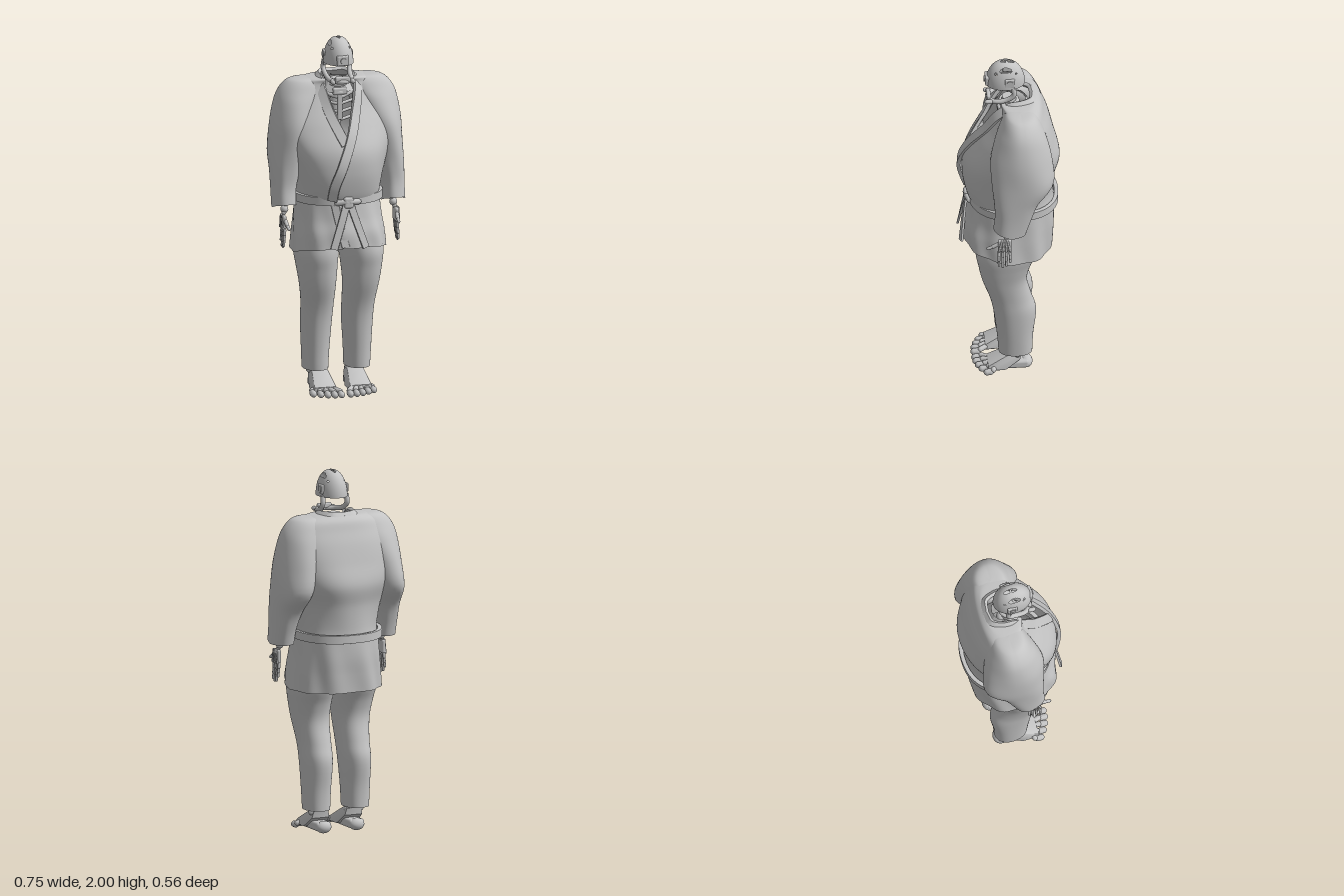
import * as THREE from 'three';
import { toCreasedNormals } from 'three/addons/utils/BufferGeometryUtils.js';
import { RoundedBoxGeometry } from 'three/addons/geometries/RoundedBoxGeometry.js';

const V = (x, y, z) => new THREE.Vector3(x, y, z);
const spow = (v, p) => Math.sign(v) * Math.abs(v) ** p;
const clamp01 = v => THREE.MathUtils.clamp(v, 0, 1);
const grey = new THREE.MeshStandardMaterial({ color: 0xc4c4c4, side: THREE.DoubleSide });
grey.name = 'plain grey';

// Surface through rings of points; skip(centre) leaves holes
function skin(rings, closed, skip) {
  const n = rings[0].length, pos = [], idx = [];
  for (const r of rings) for (const p of r) pos.push(p.x, p.y, p.z);
  for (let j = 0; j < rings.length - 1; j++) {
    for (let i = 0; i < (closed ? n : n - 1); i++) {
      const k = (i + 1) % n, a = j * n + i, b = j * n + k, c = a + n, d = b + n;
      const mid = rings[j][i].clone().add(rings[j + 1][k]).multiplyScalar(0.5);
      if (!skip || !skip(mid)) idx.push(a, b, c, b, d, c);
    }
  }
  const g = new THREE.BufferGeometry();
  g.setAttribute('position', new THREE.Float32BufferAttribute(pos, 3));
  g.setIndex(idx);
  g.computeVertexNormals();
  return g;
}

// Smoothly interpolated sections [x, y, z, rx, rz]
function sectionsOf(rows) {
  const centre = new THREE.CatmullRomCurve3(rows.map(r => V(r[0], r[1], r[2])), false, 'catmullrom');
  const size = new THREE.CatmullRomCurve3(rows.map(r => V(r[3], r[4], 0)), false, 'catmullrom');
  return t => ({ c: centre.getPoint(t), s: size.getPoint(t) });
}

// Cloth tube: fold = wrinkle depth, gap(y) = front opening half width, hem = front lift
function cloth(rows, { e = 2.2, fold = 0, waves = 5, gap = null, hem = 0, steps = 40, n = 64 } = {}) {
  const at = sectionsOf(rows), rings = [];
  for (let j = 0; j <= steps; j++) {
    const t = j / steps, { c, s } = at(t), ring = [];
    const a0 = gap ? Math.asin(Math.min(1, (gap(c.y) / s.x) ** (e / 2))) : 0;
    for (let i = 0; i < n; i++) {
      const a = a0 + (i / (gap ? n - 1 : n)) * (2 * Math.PI - 2 * a0);
      const w = 1 + fold * Math.sin(waves * a + c.y * 9) * Math.sin(Math.PI * Math.min(1, 0.15 + 0.85 * (1 - t)) * 0.5);
      ring.push(V(c.x + w * s.x * spow(Math.sin(a), 2 / e),
        c.y + hem * Math.max(0, Math.cos(a)) ** 0.75 * (1 - t),
        c.z + w * s.y * spow(Math.cos(a), 2 / e)));
    }
    rings.push(ring);
  }
  return skin(rings, !gap);
}

// Flat band with thickness along a path, facing away from the body
function band(points, width, thick, closed = false, steps = 48) {
  const curve = new THREE.CatmullRomCurve3(points, closed), rings = [];
  for (let j = 0; j <= steps; j++) {
    const t = j / steps, p = curve.getPoint(t), T = curve.getTangent(t);
    const N = V(p.x, 0.1 * clamp01((p.y - 1.3) / 0.3), p.z + 0.03);
    N.addScaledVector(T, -N.dot(T)).normalize();
    const S = T.clone().cross(N);
    const corner = (a, b) => p.clone().addScaledVector(N, a * thick / 2).addScaledVector(S, b * width / 2);
    const ring = [corner(1, -0.9), corner(1, 0.9), corner(0, 1), corner(-1, 0.9), corner(-1, -0.9), corner(0, -1)];
    if (!closed && j === 0) rings.push(ring.map(() => p.clone()));
    rings.push(ring);
    if (!closed && j === steps) rings.push(ring.map(() => p.clone()));
  }
  return toCreasedNormals(skin(rings, true), 0.9);
}

export function createModel() {
  const model = new THREE.Group();
  const add = (name, geo, x = 0, y = 0, z = 0) => {
    const m = new THREE.Mesh(geo, grey);
    m.name = name;
    m.position.set(x, y, z);
    model.add(m);
    return m;
  };
  const rod = (name, a, b, r) => {
    const d = b.clone().sub(a);
    const m = add(name, new THREE.CapsuleGeometry(r, d.length(), 4, 10));
    m.position.copy(a).lerp(b, 0.5);
    m.quaternion.setFromUnitVectors(V(0, 1, 0), d.normalize());
  };
  const box = (name, w, h, d, x, y, z, r = 0.006) => add(name, new RoundedBoxGeometry(w, h, d, 2, r), x, y, z);

  // Jacket body, broad at the shoulders and open at the neck
  const e = 2.15;
  const torso = [[0, 1.08, -0.02, 0.225, 0.225], [0, 1.16, 0, 0.232, 0.24], [0, 1.28, 0.006, 0.255, 0.255],
    [0, 1.4, -0.013, 0.288, 0.262], [0, 1.52, -0.034, 0.31, 0.215], [0, 1.62, -0.055, 0.305, 0.167],
    [0, 1.69, -0.062, 0.285, 0.132], [0, 1.74, -0.06, 0.245, 0.114], [0, 1.764, -0.045, 0.185, 0.105],
    [0, 1.772, -0.035, 0.1, 0.1]];
  const gap = y => 0.08 * clamp01((y - 1.45) / 0.28);
  add('jacketBody', cloth(torso, { e, fold: 0.013, gap, steps: 64, n: 90 }));
  const torsoAt = sectionsOf(torso);
  const onFront = (x, y, lift) => {
    let lo = 0, hi = 1;
    for (let k = 0; k < 24; k++) { const m = (lo + hi) / 2; if (torsoAt(m).c.y < y) lo = m; else hi = m; }
    const { c, s } = torsoAt(lo);
    return V(x, y, c.z + lift + s.y * Math.max(0, 1 - Math.abs(x / s.x) ** e) ** (1 / e));
  };

  // Crossed lapels and neck collar
  const lapel = (s, path, lift) => band([V(0, 1.762, -0.138), V(s * 0.07, 1.766, -0.122), V(s * 0.102, 1.764, -0.06),
    V(s * 0.106, 1.758, 0.0), ...path.map(([x, y]) => onFront(x, y, lift))], 0.056, 0.02);
  add('rightLapel', lapel(-1, [[-0.1, 1.7], [-0.078, 1.6], [-0.035, 1.49], [-0.012, 1.44]], 0.002));
  add('leftLapel', lapel(1, [[0.095, 1.7], [0.068, 1.6], [0.02, 1.47], [-0.042, 1.32], [-0.08, 1.21], [-0.088, 1.13]], 0.011));

  // Jacket skirt, with its overlapping edge
  add('jacketSkirt', cloth([[0, 0.8, 0.012, 0.257, 0.242], [0, 0.9, 0.005, 0.247, 0.245],
    [0, 1.0, -0.01, 0.235, 0.238], [0, 1.13, -0.02, 0.226, 0.226]], { e: 2.4, fold: 0.024, waves: 9, hem: 0.06, n: 96 }));
  add('skirtEdge', band([V(-0.07, 1.1, 0.215), V(-0.05, 1.0, 0.232), V(-0.02, 0.87, 0.258)], 0.045, 0.012));

  // Belt with knot and hanging ends
  const loop = [];
  for (let i = 0; i < 32; i++) {
    const a = i / 32 * Math.PI * 2;
    loop.push(V(0.238 * spow(Math.sin(a), 0.88), 1.113 + 0.008 * Math.cos(a), -0.022 + 0.236 * spow(Math.cos(a), 0.88)));
  }
  add('belt', band(loop, 0.05, 0.022, true, 96));
  box('beltKnot', 0.055, 0.065, 0.04, 0, 1.115, 0.23, 0.014);
  for (const s of [-1, 1]) {
    add('beltEnd', band([V(s * 0.01, 1.11, 0.235), V(s * 0.035, 1.03, 0.248), V(s * 0.09, 0.865, 0.27)], 0.042, 0.012));
    rod('knotFold', V(s * 0.01, 1.12, 0.236), V(s * 0.06, 1.115, 0.222), 0.016);
  }

  for (const s of [-1, 1]) {
    const side = s > 0 ? 'left' : 'right';
    // Sleeve, merging into the shoulder
    add(side + 'Sleeve', cloth([[0.308, 1.06, 0.022, 0.064, 0.088], [0.306, 1.15, 0.003, 0.066, 0.1],
      [0.295, 1.25, -0.015, 0.079, 0.125], [0.278, 1.36, -0.052, 0.097, 0.17], [0.25, 1.5, -0.048, 0.116, 0.167],
      [0.218, 1.62, -0.05, 0.128, 0.14], [0.192, 1.69, -0.052, 0.132, 0.114], [0.175, 1.74, -0.052, 0.113, 0.09],
      [0.17, 1.762, -0.05, 0.078, 0.062], [0.17, 1.768, -0.05, 0.001, 0.001]].map(r => [s * r[0], ...r.slice(1)]),
    { e: 2.1, fold: 0.025, waves: 4, hem: 0.03 }));
    // Trouser leg
    add(side + 'TrouserLeg', cloth([[0.118, 0.13, -0.027, 0.07, 0.092], [0.118, 0.25, -0.025, 0.075, 0.1],
      [0.116, 0.4, -0.022, 0.083, 0.117], [0.116, 0.5, 0.002, 0.087, 0.115], [0.122, 0.62, 0.035, 0.098, 0.122],
      [0.126, 0.72, 0.035, 0.11, 0.143], [0.126, 0.82, 0.02, 0.119, 0.172], [0.112, 0.95, 0, 0.11, 0.165],
      [0.1, 1.06, 0, 0.08, 0.12]].map(r => [s * r[0], ...r.slice(1)]), { fold: 0.014, waves: 3 }));

    // Shin and ankle
    rod(side + 'Shin', V(s * 0.112, 0.12, -0.035), V(s * 0.117, 0.35, -0.03), 0.022);
    rod(side + 'Ankle', V(s * 0.068, 0.115, -0.035), V(s * 0.148, 0.115, -0.035), 0.018);
    // Foot: sloping instep, sole, heel and toes
    const profile = new THREE.Shape([[0.12, 0.025], [0.12, 0.048], [0.04, 0.092], [-0.02, 0.122], [-0.05, 0.115],
      [-0.045, 0.085], [0.03, 0.03]].map(p => new THREE.Vector2(...p)));
    const instep = new THREE.ExtrudeGeometry(profile, { depth: 0.1, bevelSize: 0.006, bevelThickness: 0.008, bevelSegments: 2 });
    instep.rotateY(-Math.PI / 2).translate(0.05, 0, 0);
    const p = instep.attributes.position;
    for (let i = 0; i < p.count; i++) p.setX(i, p.getX(i) * (1.15 - 4 * Math.max(0, p.getY(i) - 0.03)));
    add(side + 'Instep', toCreasedNormals(instep, 0.6), s * 0.1, 0, 0);
    box(side + 'Sole', 0.09, 0.05, 0.2, s * 0.1, 0.038, 0.0, 0.016);
    const heel = add(side + 'Heel', new THREE.SphereGeometry(0.034, 20, 14), s * 0.1, 0.036, -0.087);
    heel.scale.set(1.3, 1, 1);
    for (let i = 0; i < 5; i++) {
      const x = 0.026 + i * 0.036, tip = 0.19 - i * i * 0.0035;
      rod(side + 'ToeBase', V(s * (0.068 + i * 0.017), 0.04, 0.09), V(s * x, 0.032, tip - 0.035), 0.015);
      rod(side + 'Toe', V(s * x, 0.022, tip - 0.02), V(s * x, 0.02, tip), 0.0185);
    }

    // Forearm, wrist and hand
    rod(side + 'Forearm', V(s * 0.305, 1.07, 0.025), V(s * 0.295, 1.36, -0.06), 0.018);
    rod(side + 'Wrist', V(s * 0.312, 1.03, 0.04), V(s * 0.306, 1.08, 0.025), 0.013);
    add(side + 'WristJoint', new THREE.SphereGeometry(0.022, 14, 10), s * 0.308, 1.05, 0.033);
    box(side + 'Palm', 0.022, 0.075, 0.075, s * 0.318, 0.985, 0.05, 0.009);
    for (let i = 0; i < 4; i++) {
      const z = 0.02 + i * 0.0205, len = [0.075, 0.1, 0.105, 0.095][i];
      rod(side + 'HandBone', V(s * 0.328, 1.02, 0.035 + i * 0.01), V(s * 0.328, 0.95, z), 0.006);
      for (let k = 0; k < 3; k++)
        rod(side + 'FingerJoint', V(s * (0.318 + 0.002 * k), 0.942 - len * k / 3, z),
          V(s * (0.32 + 0.002 * k), 0.95 - len * (k + 1) / 3, z), 0.0085 - k * 0.0008);
    }
    rod(side + 'ThumbBase', V(s * 0.315, 0.995, 0.08), V(s * 0.312, 0.975, 0.112), 0.011);
    rod(side + 'ThumbTip', V(s * 0.312, 0.972, 0.12), V(s * 0.31, 0.962, 0.14), 0.009);

    // Collarbone, ribs and shoulder rod inside the jacket
    rod('collarbone', V(s * 0.015, 1.67, 0.05), V(s * 0.12, 1.7, 0.0), 0.013);
    for (let i = 0; i < 3; i++)
      rod('rib', V(s * 0.01, 1.63 - i * 0.045, 0.05), V(s * 0.1, 1.645 - i * 0.045, 0.02), 0.009);
    rod('shoulderRod', V(s * 0.1, 1.68, -0.03), V(s * 0.2, 1.66, -0.05), 0.025);
  }

  // Spine, neck stub, chest plate and shoulder yoke
  rod('spine', V(0, 1.1, -0.06), V(0, 1.65, -0.04), 0.03);
  add('neck', new THREE.CylinderGeometry(0.038, 0.046, 0.1, 20), 0, 1.715, 0);
  add('neckRing', new THREE.TorusGeometry(0.046, 0.012, 8, 24).rotateX(Math.PI / 2), 0, 1.735, 0);
  add('neckYoke', toCreasedNormals(new THREE.CylinderGeometry(0.065, 0.1, 0.06, 14, 1, true), 0.1), 0, 1.725, -0.03);
  box('breastbone', 0.03, 0.14, 0.02, 0, 1.61, 0.055);
  box('throatBlock', 0.08, 0.04, 0.04, 0, 1.7, 0.045, 0.01);

  // Skull dome with slots cut through
  const slots = [[0, 0.01, 0.01, 0.038], [0.051, 0.02, 0.008, 0.034], [0.055, -0.045, 0.008, 0.015], [0.053, 0.08, 0.008, 0.012]];
  const dome = [];
  for (let j = 0; j <= 48; j++) {
    const f = j / 48 * Math.PI / 2, r = Math.cos(f) ** 0.85, ring = [];
    for (let i = 0; i < 112; i++) {
      const a = i / 112 * Math.PI * 2;
      ring.push(V(0.081 * r * Math.sin(a), 1.858 + 0.142 * Math.sin(f), 0.02 + 0.108 * r * Math.cos(a)));
    }
    dome.push(ring);
  }
  add('skullDome', skin(dome, true, m => m.y > 1.945 &&
    slots.some(([x, z, rx, rz]) => ((Math.abs(m.x) - x) / rx) ** 2 + ((m.z - z) / rz) ** 2 < 1)));
  const rim = add('skullRim', new THREE.TorusGeometry(1, 0.05, 8, 48).rotateX(Math.PI / 2), 0, 1.862, 0.02);
  rim.scale.set(0.075, 0.1, 0.102);
  const bar = add('slotBar', new THREE.SphereGeometry(0.006, 10, 8), 0, 1.994, 0.012);
  bar.scale.set(2, 0.5, 1.2);

  // Face camera and ear covers
  box('faceCamera', 0.068, 0.056, 0.04, 0, 1.888, 0.112, 0.008);
  add('cameraLens', new THREE.CylinderGeometry(0.016, 0.018, 0.012, 20).rotateX(Math.PI / 2), 0, 1.888, 0.132);
  for (const s of [-1, 1]) {
    box('earCover', 0.016, 0.052, 0.056, s * 0.073, 1.9, 0.0, 0.007);
    add('earDisc', new THREE.CylinderGeometry(0.018, 0.018, 0.008, 20).rotateZ(Math.PI / 2), s * 0.08, 1.9, 0);
    box('cheekBlock', 0.018, 0.03, 0.03, s * 0.068, 1.85, -0.015);
    rod('chinJoint', V(s * 0.056, 1.77, 0.105), V(s * 0.056, 1.77, 0.125), 0.013);
  }

  // Jaw hoop and chin
  const jaw = new THREE.CatmullRomCurve3([V(-0.07, 1.865, -0.018), V(-0.074, 1.82, -0.022), V(-0.068, 1.786, 0.015),
    V(-0.055, 1.77, 0.085), V(0, 1.768, 0.118), V(0.055, 1.77, 0.085), V(0.068, 1.786, 0.015), V(0.074, 1.82, -0.022),
    V(0.07, 1.865, -0.018)]);
  add('jaw', new THREE.TubeGeometry(jaw, 64, 0.014, 10));
  box('chin', 0.085, 0.03, 0.024, 0, 1.782, 0.112, 0.009);
  return model;
}
